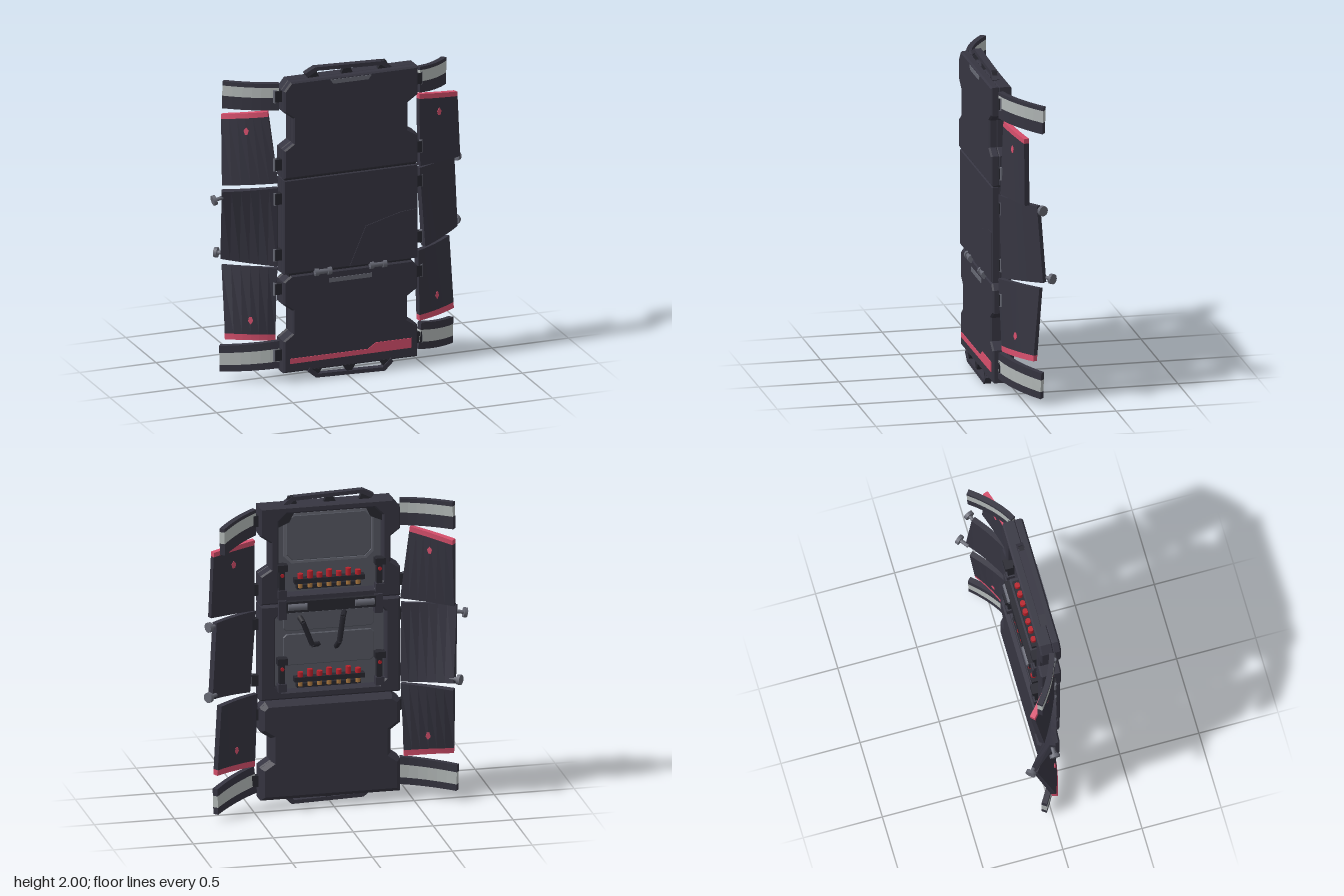
import * as THREE from 'three';

const mat = (name, color) => new THREE.MeshStandardMaterial({ name, color });

export function createModel() {
  const root = new THREE.Group();
  root.name = 'foldingPanelRig';
  const M = {
    shell: mat('dark shell', 0x363541),
    trim: mat('black trim', 0x27272f),
    pink: mat('pink accent', 0xd64f6c),
    band: mat('pale band', 0xb4bab9),
    inner: mat('inner lining', 0x565862),
    metal: mat('grey metal', 0x666873),
    red: mat('red caps', 0xb8222c),
    gold: mat('brass', 0xa8763e),
  };
  M.band.flatShading = M.pink.flatShading = false;

  const add = (name, geo, m, x = 0, y = 0, z = 0) => {
    const mesh = new THREE.Mesh(geo, m);
    mesh.name = name;
    mesh.position.set(x, y, z);
    root.add(mesh);
    return mesh;
  };
  const box = (name, m, w, h, d, x, y, z) => add(name, new THREE.BoxGeometry(w, h, d), m, x, y, z);
  const shapeOf = pts => new THREE.Shape(pts.map(p => new THREE.Vector2(...p)));
  const rect = (x0, y0, x1, y1, c) => [
    [x0 + c, y0], [x1 - c, y0], [x1, y0 + c], [x1, y1 - c], [x1 - c, y1], [x0 + c, y1], [x0, y1 - c], [x0, y0 + c]];
  // Prism of an outline between two depths, with an optional chamfer and hole
  const slab = (name, m, pts, z0, z1, bevel = 0, hole) => {
    const s = shapeOf(pts);
    if (hole) s.holes.push(new THREE.Path(hole.map(p => new THREE.Vector2(...p))));
    const geo = new THREE.ExtrudeGeometry(s, {
      depth: z1 - z0 - 2 * bevel, bevelEnabled: bevel > 0, bevelSegments: 1,
      bevelSize: bevel, bevelThickness: bevel, bevelOffset: -bevel });
    return add(name, geo, m, 0, 0, z0 + bevel);
  };
  // Cylinder between two points
  const rod = (name, m, a, b, r, sides = 12) => {
    const A = new THREE.Vector3(...a), B = new THREE.Vector3(...b), d = B.clone().sub(A);
    const mesh = add(name, new THREE.CylinderGeometry(r, r, d.length(), sides), m);
    mesh.position.copy(A).add(B).multiplyScalar(0.5);
    mesh.quaternion.setFromUnitVectors(new THREE.Vector3(0, 1, 0), d.normalize());
    return mesh;
  };

  // Main panels
  const topOutline = [[-0.42, 1.315], [0.455, 1.315], [0.455, 1.5], [0.39, 1.54], [0.39, 1.71], [0.455, 1.755],
    [0.455, 1.936], [-0.375, 1.936], [-0.42, 1.88], [-0.42, 1.745], [-0.36, 1.7], [-0.36, 1.54], [-0.42, 1.5]];
  const midOutline = [[-0.42, 0.7], [0.455, 0.7], [0.455, 1.305], [-0.42, 1.305]];
  const lowOutline = [[-0.42, 0.064], [0.455, 0.064], [0.455, 0.27], [0.39, 0.313], [0.39, 0.46], [0.455, 0.504],
    [0.455, 0.65], [0.42, 0.688], [-0.37, 0.688], [-0.42, 0.65], [-0.42, 0.504], [-0.36, 0.46], [-0.36, 0.313], [-0.42, 0.27]];
  slab('topPanel', M.shell, topOutline, 0.1, 0.155, 0.01);
  slab('topRim', M.shell, topOutline, 0.025, 0.11, 0.01, rect(-0.31, 1.37, 0.34, 1.89, 0.05));
  slab('middlePanel', M.shell, midOutline, 0.1, 0.148, 0.006);
  slab('middleRim', M.shell, midOutline, 0.03, 0.11, 0.01, rect(-0.33, 0.75, 0.36, 1.26, 0.04));
  slab('bottomPanel', M.shell, lowOutline, 0.05, 0.145, 0.01);
  slab('bottomBackCover', M.shell, lowOutline, 0.008, 0.06, 0.025);

  // Front details
  slab('frontPlate', M.shell, [[0.01, 0.705], [0.45, 0.705], [0.45, 1.02], [0.35, 1.013], [0.115, 0.95]], 0.145, 0.153);
  slab('pinkStripe', M.pink, [[-0.38, 0.122], [0.415, 0.127], [0.415, 0.19], [0.18, 0.19], [0.13, 0.155], [-0.38, 0.155]], 0.142, 0.149);
  slab('topVent', M.metal, [[-0.1, 1.895], [0.13, 1.895], [0.15, 1.922], [-0.12, 1.922]], 0.15, 0.159);
  slab('bottomVent', M.metal, [[-0.12, 0.615], [0.155, 0.615], [0.155, 0.642], [-0.12, 0.642]], 0.14, 0.149);
  box('seam', M.trim, 0.86, 0.02, 0.05, 0.018, 1.31, 0.115);
  box('seam', M.trim, 0.8, 0.03, 0.06, 0.018, 0.695, 0.105);
  for (const x of [-0.165, 0.195]) {
    rod('frontHinge', M.metal, [x - 0.045, 0.692, 0.145], [x + 0.045, 0.692, 0.145], 0.017);
    for (const s of [-1, 1])
      rod('hingeCollar', M.metal, [x + s * 0.03, 0.692, 0.145], [x + s * 0.055, 0.692, 0.145], 0.025);
  }

  // Carry handles at both ends
  const handle = (pts, z, base) => {
    const s = Math.sign(pts[1][1] - base);
    const innerLine = pts.map(([x, y], i) => [x + (i < 2 ? 0.015 : -0.015), y - s * 0.024]).reverse();
    slab('handle', M.shell, [...pts, ...innerLine], z - 0.022, z + 0.022);
    for (const x of [-0.21, 0.01, 0.25])
      slab('handlePost', M.trim, [[x - 0.04, base], [x + 0.04, base], [x + 0.015, pts[1][1] - s * 0.015], [x - 0.015, pts[1][1] - s * 0.015]], z - 0.015, z + 0.015);
  };
  handle([[-0.265, 1.965], [-0.2, 1.998], [0.25, 1.982], [0.3, 1.94]], 0.09, 1.93);
  handle([[-0.265, 0.06], [-0.21, 0.015], [0.24, 0.002], [0.295, 0.055]], 0.13, 0.07);

  // Side flaps: bowed, twisted slabs from four corners (inner top, outer top, outer bottom, inner bottom)
  const T = 0.034;
  const flap = (name, c, accent, accentMat, bow, emblemV) => {
    const P = c.map(p => new THREE.Vector3(...p)), side = Math.sign(P[0].x);
    const at = (u, v) => {
      const p = P[0].clone().lerp(P[1], u).lerp(P[3].clone().lerp(P[2], u), v);
      p.z += bow * 4 * u * (1 - u);
      return p;
    };
    const normal = (u, v) => {
      const du = at(u + 0.01, v).sub(at(u - 0.01, v)), dv = at(u, v + 0.01).sub(at(u, v - 0.01));
      return dv.cross(du).multiplyScalar(side).normalize();
    };
    const F = (u, v) => at(u, v).addScaledVector(normal(u, v), T / 2);
    const B = (u, v) => at(u, v).addScaledVector(normal(u, v), -T / 2);
    const vs = [...new Set([0, ...accent, 1])], N = 6;
    const tris = [[], []];
    vs.slice(1).forEach((v1, j) => {
      const v0 = vs[j], mid = (v0 + v1) / 2;
      const out = tris[mid > accent[0] && mid < accent[1] ? 1 : 0];
      const quad = (...q) => {
        if (side < 0) q.reverse();
        for (const k of [0, 1, 2, 0, 2, 3]) out.push(...q[k].toArray());
      };
      for (let i = 0; i < N; i++) {
        const a = i / N, b = (i + 1) / N;
        quad(F(a, v0), F(a, v1), F(b, v1), F(b, v0));
        quad(B(b, v0), B(b, v1), B(a, v1), B(a, v0));
        if (v0 === 0) quad(F(a, 0), F(b, 0), B(b, 0), B(a, 0));
        if (v1 === 1) quad(B(a, 1), B(b, 1), F(b, 1), F(a, 1));
      }
      quad(F(1, v0), F(1, v1), B(1, v1), B(1, v0));
      quad(B(0, v0), B(0, v1), F(0, v1), F(0, v0));
    });
    tris.forEach((t, k) => {
      if (!t.length) return;
      const g = new THREE.BufferGeometry();
      g.setAttribute('position', new THREE.Float32BufferAttribute(t, 3));
      g.computeVertexNormals();
      add(k ? name + 'Accent' : name, g, k ? accentMat : M.shell);
    });
    // Small drop-shaped mark showing on both faces
    if (emblemV) {
      const d = emblemV < 0.5 ? -1 : 1, h = T / 2 + 0.003;
      const pts = [[0, 0.025], [0.016, 0.004], [0.008, -0.022], [-0.008, -0.022], [-0.016, 0.004]].map(([x, y]) => [x, y * (d < 0 ? 1 : -1)]);
      const e = slab('mark', M.pink, d < 0 ? pts : pts.reverse(), -h, h);
      const q = new THREE.Quaternion().setFromUnitVectors(new THREE.Vector3(0, 0, 1), normal(0.5, emblemV));
      e.quaternion.copy(q);
      e.position.copy(at(0.5, emblemV)).addScaledVector(normal(0.5, emblemV), -h);
    }
  };
  const none = [0, 0];
  flap('upperLeftArm', [[0.475, 1.915, 0.1], [0.73, 1.875, -0.115], [0.725, 1.705, -0.11], [0.475, 1.75, 0.1]], [0.13, 0.57], M.band, 0.025);
  flap('upperRightArm', [[-0.43, 1.92, 0.09], [-0.73, 1.922, -0.07], [-0.735, 1.75, -0.07], [-0.43, 1.75, 0.09]], [0.15, 0.53], M.band, 0.02);
  flap('lowerLeftArm', [[0.487, 0.27, 0.1], [0.768, 0.205, -0.095], [0.762, 0.04, -0.09], [0.467, 0.1, 0.1]], [0.28, 0.73], M.band, 0.025);
  flap('lowerRightArm', [[-0.43, 0.265, 0.09], [-0.762, 0.23, -0.05], [-0.758, 0.065, -0.05], [-0.43, 0.09, 0.09]], [0.28, 0.75], M.band, 0.02);
  flap('upperLeftFlap', [[0.487, 1.73, 0.07], [0.76, 1.69, 0.005], [0.778, 1.272, 0.005], [0.485, 1.272, 0.09]], [0, 0.07], M.pink, 0.005, 0.27);
  flap('upperRightFlap', [[-0.495, 1.742, 0.07], [-0.72, 1.695, -0.115], [-0.74, 1.255, -0.06], [-0.435, 1.28, 0.09]], [0, 0.07], M.pink, 0.01, 0.25);
  flap('middleLeftFlap', [[0.475, 1.265, 0.1], [0.765, 1.262, -0.07], [0.798, 0.785, -0.1], [0.515, 0.75, 0.09]], none, M.pink, 0.015);
  flap('middleRightFlap', [[-0.44, 1.25, 0.09], [-0.768, 1.24, 0], [-0.728, 0.77, -0.11], [-0.44, 0.745, 0.09]], none, M.pink, 0.01);
  flap('lowerLeftFlap', [[0.465, 0.733, 0.1], [0.74, 0.733, -0.09], [0.755, 0.278, -0.05], [0.485, 0.275, 0.08]], [0.92, 1], M.pink, 0.015, 0.72);
  flap('lowerRightFlap', [[-0.44, 0.733, 0.09], [-0.725, 0.73, -0.1], [-0.755, 0.29, 0.02], [-0.455, 0.27, 0.08]], [0.92, 1], M.pink, 0.01, 0.73);

  // Knobs on the outer edges of the middle flaps
  const knob = (x, y, z, dx, dy, dz) => {
    const p = k => [x + dx * k, y + dy * k, z + dz * k];
    rod('knobStem', M.metal, p(-0.065), p(0), 0.012);
    rod('knobHead', M.metal, p(-0.008), p(0.014), 0.032);
  };
  knob(0.8, 1.24, -0.085, 0.9, 0, -0.4);
  knob(0.815, 0.81, -0.14, 0.8, 0, -0.6);
  knob(-0.815, 1.185, 0, -0.95, -0.2, 0);
  knob(-0.75, 0.8, -0.13, -0.75, 0, -0.65);

  // Hinge lugs between panels and flaps
  for (const [s, edge] of [[-1, -0.42], [1, 0.455]])
    for (const y of [1.84, 1.4, 1.18, 0.82, 0.6, 0.175]) {
      box('hingeLug', M.trim, 0.055, 0.07, 0.04, edge + s * 0.015, y, 0.095);
      rod('hingePin', M.metal, [edge + s * 0.04, y - 0.04, 0.1], [edge + s * 0.04, y + 0.04, 0.1], 0.012, 8);
    }

  // Linings inside the two open panels
  slab('topLining', M.inner, rect(-0.315, 1.365, 0.345, 1.895, 0.04), 0.092, 0.099);
  slab('topInset', M.inner, rect(-0.25, 1.57, 0.28, 1.86, 0.04), 0.08, 0.094, 0.005);
  slab('topInsetFrame', M.metal, rect(-0.265, 1.555, 0.295, 1.875, 0.045), 0.076, 0.094, 0, rect(-0.25, 1.57, 0.28, 1.86, 0.04));
  slab('middleLining', M.inner, rect(-0.335, 0.745, 0.365, 1.265, 0.03), 0.092, 0.099);
  slab('middleInset', M.inner, rect(-0.27, 1.12, 0.3, 1.24, 0.02), 0.08, 0.094, 0.005);
  slab('middleInset', M.inner, rect(-0.27, 0.9, 0.3, 1.1, 0.02), 0.08, 0.094, 0.005);
  for (const s of [-1, 1]) {
    const x = 0.015 + s * 0.325;
    const tri = [[x, 1.89], [x - s * 0.1, 1.89], [x - s * 0.07, 1.83], [x, 1.8]];
    slab('cornerGusset', M.trim, s < 0 ? tri.reverse() : tri, 0.045, 0.095);
  }

  // Racks of red-capped brass vials
  for (const y of [1.45, 0.82]) {
    box('rackRail', M.trim, 0.44, 0.03, 0.05, 0.02, y, 0.055);
    box('rackBase', M.trim, 0.4, 0.025, 0.04, 0.02, y - 0.045, 0.075);
    for (let i = 0; i < 7; i++) {
      const x = -0.16 + i * 0.06, h = i % 2 ? 0.06 : 0.045;
      rod('vialCap', M.red, [x, y + 0.01, 0.05], [x, y + h, 0.05], 0.018, 8);
      rod('vialTip', M.gold, [x, y - 0.045, 0.05], [x, y - 0.01, 0.05], 0.015, 8);
    }
  }

  // Side clips beside each rack
  for (const y of [1.47, 0.87])
    for (const x of [-0.29, 0.32]) {
      box('clipBar', M.trim, 0.035, 0.2, 0.04, x, y, 0.04);
      box('clipHead', M.trim, 0.065, 0.04, 0.05, x, y + 0.08, 0.025);
      box('clipFoot', M.shell, 0.055, 0.05, 0.05, x, y - 0.09, 0.035);
      rod('clipButton', M.red, [x, y + 0.03, 0.025], [x, y + 0.03, 0.012], 0.012, 8);
    }

  // Back hinge bar joining the open panels
  box('hingeBar', M.trim, 0.56, 0.07, 0.06, 0.02, 1.3, 0.025);
  for (const x of [-0.19, 0.23])
    rod('backHinge', M.metal, [x - 0.06, 1.3, 0.005], [x + 0.06, 1.3, 0.005], 0.024);
  for (const x of [-0.28, 0.32]) box('hingeBracket', M.shell, 0.05, 0.12, 0.05, x, 1.28, 0.03);

  // Hanging straps
  const strap = pts => pts.slice(1).forEach((b, i) => {
    const m = rod('strap', M.trim, pts[i], b, 0.017, 4);
    m.geometry.rotateY(Math.PI / 4);
  });
  strap([[0.2, 1.21, 0.07], [0.19, 1.19, 0.02], [0.13, 1.04, 0.03], [0.08, 1.03, 0.07]]);
  strap([[-0.08, 1.23, 0.07], [-0.06, 1.21, 0.02], [-0.04, 1.05, 0.03], [-0.03, 1.0, 0.08]]);
  return root;
}
